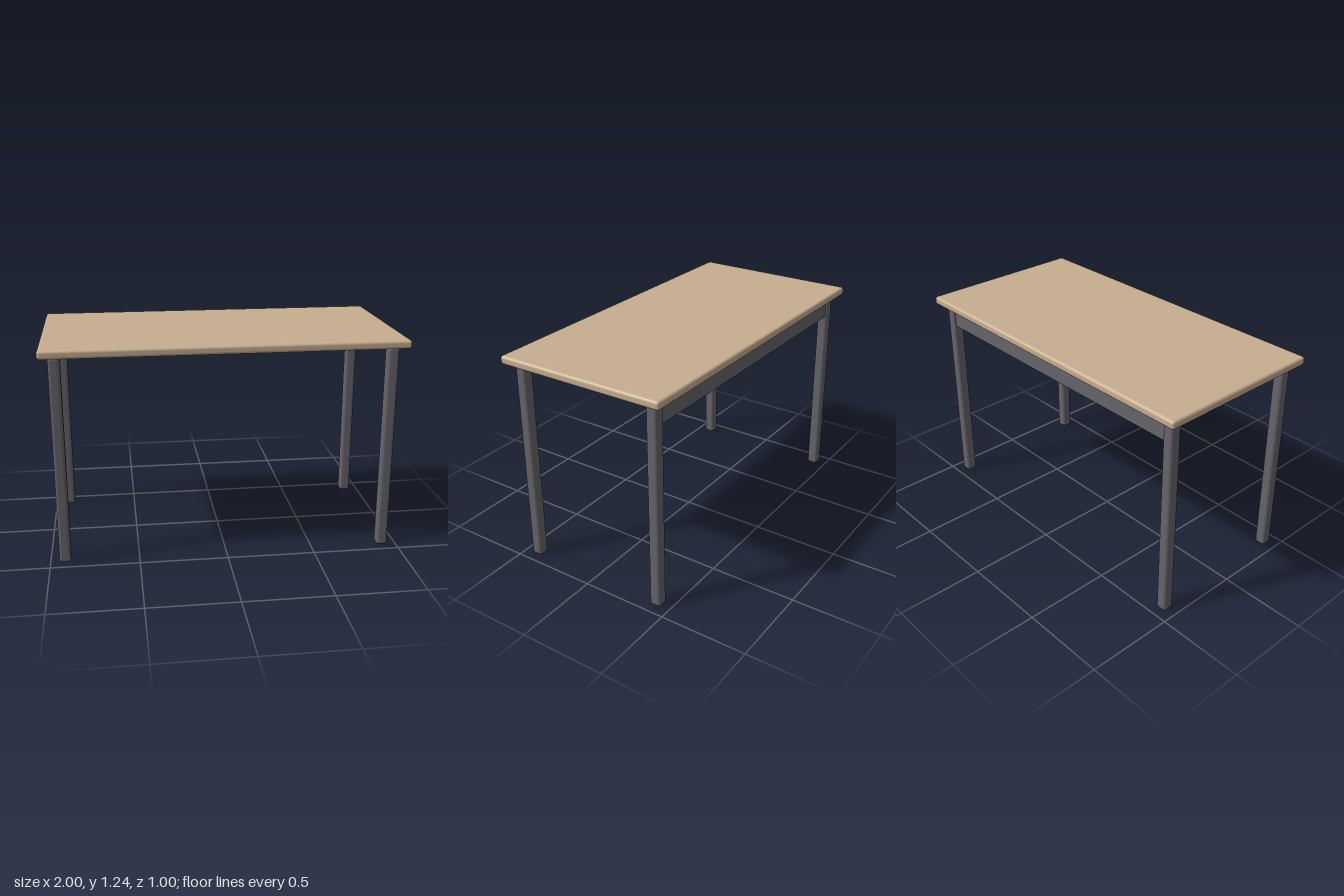
import * as THREE from 'three';
import { RoundedBoxGeometry } from 'three/addons/geometries/RoundedBoxGeometry.js';

const wood = new THREE.MeshStandardMaterial({ color: 0xc8ae90 });
wood.name = 'light wood';
const metal = new THREE.MeshStandardMaterial({ color: 0x66666b });
metal.name = 'grey metal';

const HEIGHT = 1.235;
const TOP_THICKNESS = 0.048;
const LEG_HEIGHT = HEIGHT - TOP_THICKNESS;
const LEG_WIDTH = 0.065;
const LEG_X = 0.917;
const LEG_Z = 0.417;

// Softly rounded block centred on x, y, z
function block(name, size, position, radius, material) {
  const mesh = new THREE.Mesh(new RoundedBoxGeometry(...size, 4, radius), material);
  mesh.name = name;
  mesh.position.set(...position);
  return mesh;
}

export function createModel() {
  const table = new THREE.Group();
  table.name = 'table';

  // Table top
  table.add(block('tableTop', [2, TOP_THICKNESS, 1], [0, HEIGHT - TOP_THICKNESS / 2, 0], 0.016, wood));

  // Four legs
  for (const [side, sx] of [['Left', 1], ['Right', -1]]) {
    for (const [end, sz] of [['front', 1], ['back', -1]]) {
      table.add(block(`${end}${side}Leg`, [LEG_WIDTH, LEG_HEIGHT, LEG_WIDTH],
        [sx * LEG_X, LEG_HEIGHT / 2, sz * LEG_Z], 0.017, metal));
    }
  }

  // Apron between the back legs, its ends set into them
  const apronHeight = 0.133;
  table.add(block('backApron', [2 * LEG_X - 0.02, apronHeight, 0.04],
    [0, LEG_HEIGHT - apronHeight / 2, -LEG_Z], 0.008, metal));

  return table;
}
